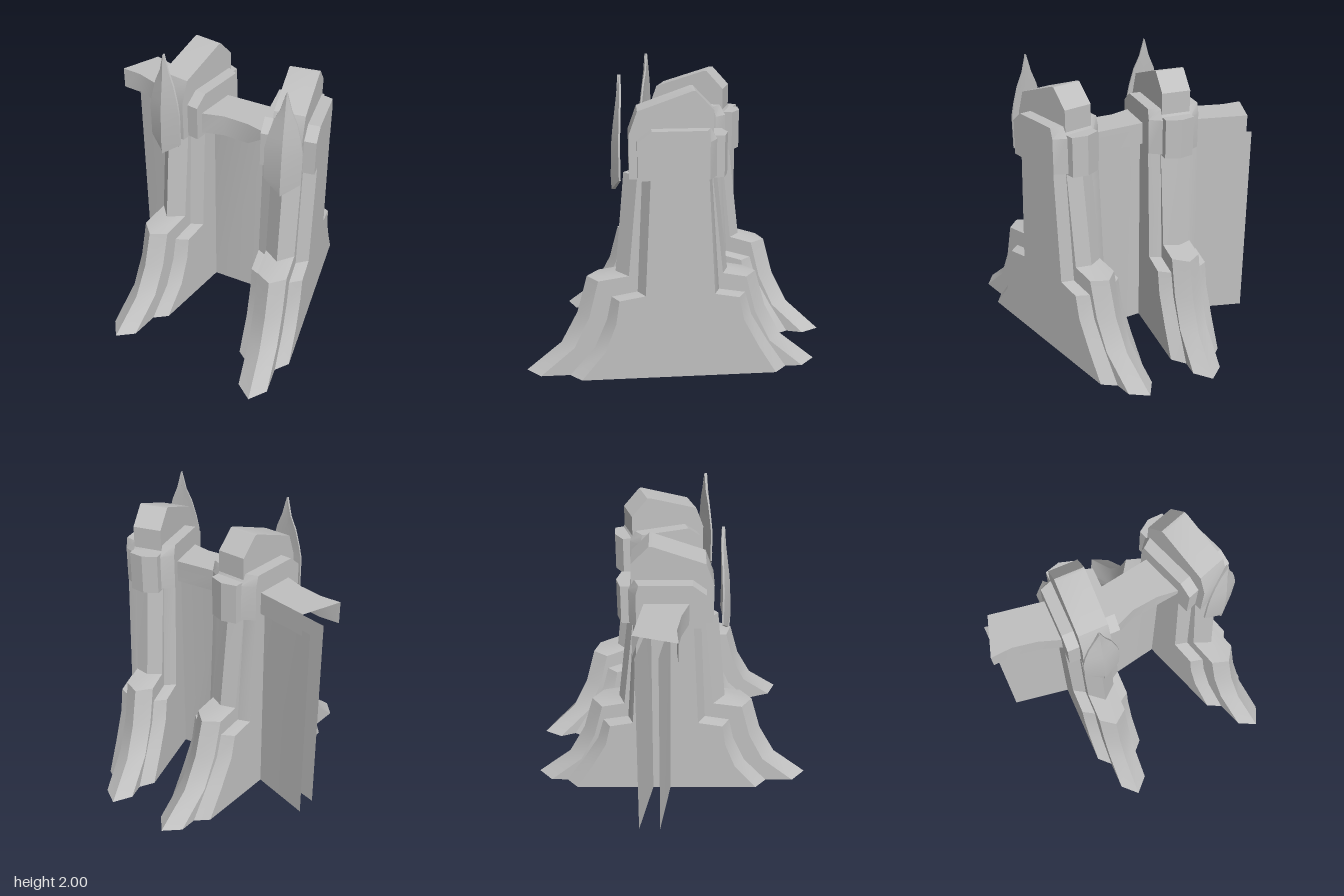
import * as THREE from 'three';
import { toCreasedNormals } from 'three/addons/utils/BufferGeometryUtils.js';

const stone = new THREE.MeshStandardMaterial({ color: 0xc0c0c0, side: THREE.DoubleSide });
stone.name = 'stone grey';

function addMesh(group, name, geometry) {
  const mesh = new THREE.Mesh(toCreasedNormals(geometry, 0.45), stone);
  mesh.name = name;
  group.add(mesh);
}

function geometryFrom(pos) {
  const g = new THREE.BufferGeometry();
  g.setAttribute('position', new THREE.Float32BufferAttribute(pos, 3));
  g.computeVertexNormals();
  return g;
}

// Shell through convex rings of [x, y, z], each counterclockwise from above
function loft(rings, closedBelow = true) {
  const pos = [];
  const n = rings[0].length;
  const tri = (a, b, c) => pos.push(...a, ...b, ...c);
  for (let r = 0; r < rings.length - 1; r++) {
    for (let i = 0; i < n; i++) {
      const j = (i + 1) % n;
      const lo = rings[r], hi = rings[r + 1];
      tri(lo[i], lo[j], hi[j]);
      tri(lo[i], hi[j], hi[i]);
    }
  }
  const top = rings[rings.length - 1], bottom = rings[0];
  for (let i = 1; i < n - 1; i++) {
    tri(top[0], top[i], top[i + 1]);
    if (closedBelow) tri(bottom[0], bottom[i + 1], bottom[i]);
  }
  return geometryFrom(pos);
}

// Plan with cut corners: f/b front and back at the sides, cf/cb corner depth
const cutPlan = (y, f, b, cf, cb, w = 0.18, v = 0.1) => [
  [v, y, f + cf], [w, y, f], [w, y, b], [v, y, b - cb],
  [-v, y, b - cb], [-w, y, b], [-w, y, f], [-v, y, f + cf],
];
// Plan with pointed front and back: pf/pb depth of the points
const pointPlan = (y, f, b, pf, pb, w = 0.1) => [
  [0, y, f + pf], [w, y, f], [w, y, b], [0, y, b - pb], [-w, y, b], [-w, y, f],
];

function buttress() {
  const g = new THREE.Group();

  // Broad lower layer with flared feet and a stepped ledge, open underneath
  addMesh(g, 'outerPier', loft([
    [0, 0.61, -0.69, 0.08, 0.08], [0.2, 0.45, -0.57, 0.07, 0.07], [0.4, 0.375, -0.465, 0.06, 0.06],
    [0.565, 0.35, -0.43, 0.05, 0.05], [0.595, 0.18, -0.27, 0.05, 0.035], [1.38, 0.14, -0.225, 0.05, 0.025],
  ].map((p) => cutPlan(...p)), false));

  // Narrow pointed spine, flaring further out
  addMesh(g, 'innerPier', loft([
    [0, 0.885, -0.885, 0.1, 0.1], [0.2, 0.655, -0.655, 0.09, 0.09], [0.42, 0.55, -0.55, 0.08, 0.08],
    [0.675, 0.485, -0.485, 0.075, 0.075], [0.705, 0.285, -0.33, 0.085, 0.04], [1.38, 0.22, -0.255, 0.085, 0.035],
  ].map((p) => pointPlan(...p)), false));

  // Collar around the head
  addMesh(g, 'collar', loft([
    cutPlan(1.37, 0.22, -0.23, 0, 0.05), cutPlan(1.61, 0.22, -0.23, 0, 0.05),
    cutPlan(1.68, 0.13, -0.21, 0, 0.03),
  ]));

  // Pointed block behind the collar
  addMesh(g, 'rearBlock', loft([1.36, 1.63].map((y) => pointPlan(y, 0, -0.33, 0.02, 0.03))));

  // Sloping head
  const profile = new THREE.Shape([
    [0.27, 1.36], [0.27, 1.64], [0.215, 1.79], [-0.125, 1.91], [-0.145, 1.91], [-0.26, 1.79], [-0.26, 1.36],
  ].map(([z, y]) => new THREE.Vector2(z, y)));
  const head = new THREE.ExtrudeGeometry(profile, { depth: 0.2, bevelEnabled: false });
  head.translate(0, 0, -0.1).rotateY(-Math.PI / 2);
  addMesh(g, 'head', head);

  // Upright spear-shaped shield on the front: y, half width, edge z, ridge depth
  addMesh(g, 'spearShield', loft([
    [1.27, 0.004, 0.37, 0.012], [1.36, 0.122, 0.335, 0.05], [1.59, 0.122, 0.335, 0.04],
    [1.68, 0.105, 0.33, 0.035], [1.79, 0.075, 0.325, 0.025], [1.88, 0.035, 0.32, 0.018], [2, 0.002, 0.32, 0.008],
  ].map(([y, w, z, d]) => [
    [0, y, z + d], [w, y, z], [w, y, z - 0.012], [0, y, z - 0.01 + d * 0.1], [-w, y, z - 0.012], [-w, y, z],
  ])));
  return g;
}

// Upright sheet along a plan path of [x, z, optional lower height]
function sheet(path, y0, y1) {
  const pos = [];
  for (let i = 0; i < path.length - 1; i++) {
    const [ax, az, ay = y0] = path[i], [bx, bz, by = y0] = path[i + 1];
    pos.push(ax, ay, az, bx, by, bz, bx, y1, bz, ax, ay, az, bx, y1, bz, ax, y1, az);
  }
  return geometryFrom(pos);
}

function wall() {
  const g = new THREE.Group();
  const front = [[-0.895, 0.04], [-0.75, 0.03], [-0.58, 0.06], [-0.44, 0.11], [-0.26, 0.19],
    [-0.08, 0.17], [0.06, 0.11], [0.24, 0.09], [0.42, 0.11, 1.53]];
  const back = [[0.32, -0.18], [0.28, -0.18], [-0.08, -0.12], [-0.44, -0.18], [-0.81, -0.24]];

  // Overhanging parapet, open underneath and at its free end
  addMesh(g, 'parapetFront', sheet(front, 1.4, 1.55));
  addMesh(g, 'parapetBack', sheet(back, 1.4, 1.55));
  const plan = new THREE.Shape([...front, ...back].map(([x, z]) => new THREE.Vector2(x, -z)));
  addMesh(g, 'parapetTop', new THREE.ShapeGeometry(plan).rotateX(-Math.PI / 2).translate(0, 1.55, 0));

  // Thin front and back curtain walls, set in below the parapet
  addMesh(g, 'wallFront', sheet([[-0.86, -0.08], [-0.44, -0.01], [-0.08, 0.03], [0.345, -0.05]], 0, 1.42));
  addMesh(g, 'wallBack', sheet([[0.32, -0.135], [-0.08, -0.075], [-0.44, -0.135], [-0.86, -0.225]], 0, 1.42));
  return g;
}

export function createModel() {
  const model = new THREE.Group();
  model.name = 'buttressedWall';

  const straight = buttress();
  straight.name = 'rightButtress';
  straight.position.x = -0.26;

  const turned = buttress();
  turned.name = 'leftButtress';
  turned.position.set(0.515, 0, -0.065);
  turned.rotation.y = 0.325;

  const curtain = wall();
  curtain.name = 'curtainWall';
  model.add(straight, turned, curtain);
  return model;
}
